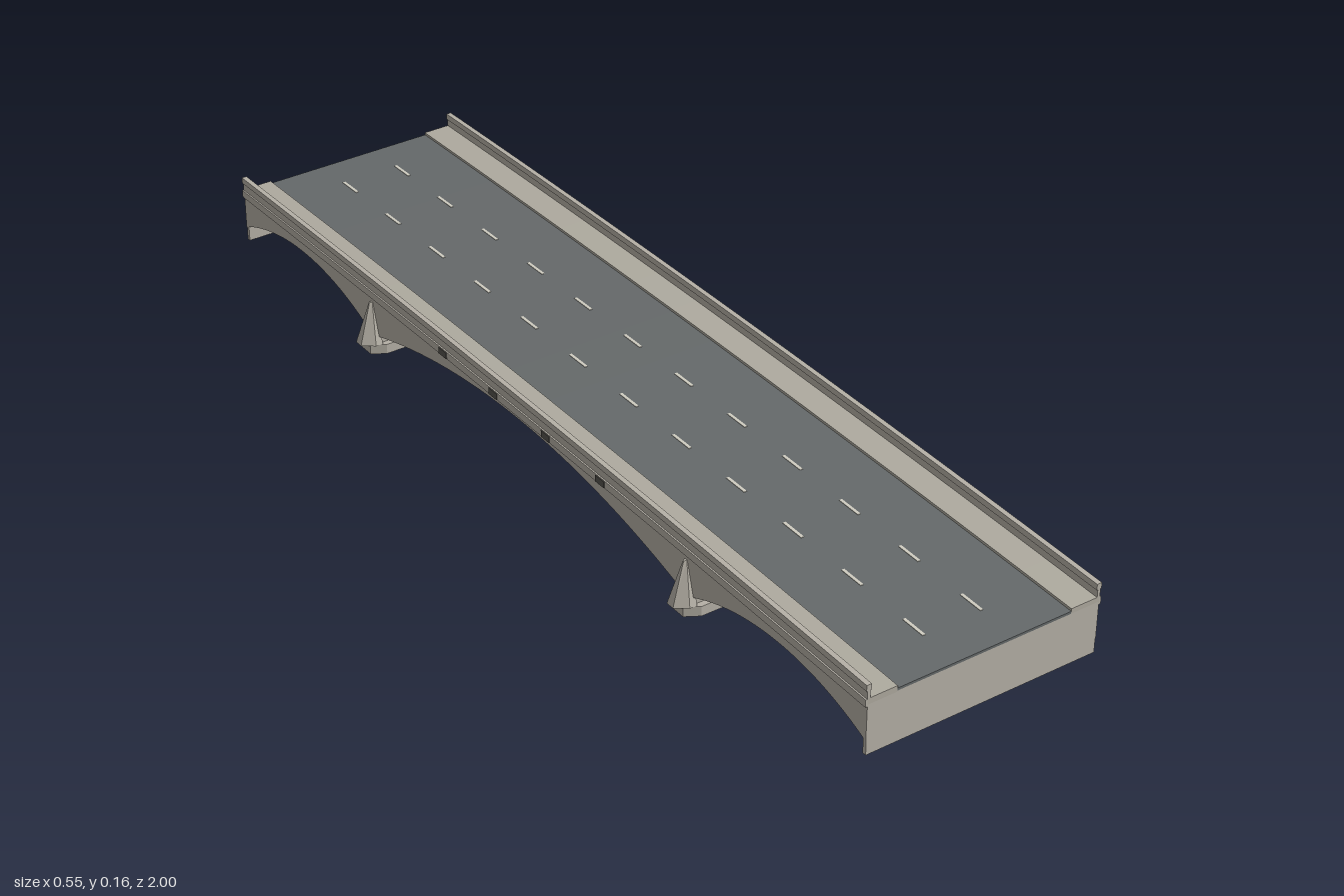
import * as THREE from 'three';

const concrete = new THREE.MeshStandardMaterial({ color: 0xb5b0a6 });
concrete.name = 'concrete';
const paving = new THREE.MeshStandardMaterial({ color: 0xaeaa9f });
paving.name = 'paving';
const asphalt = new THREE.MeshStandardMaterial({ color: 0x65696a });
asphalt.name = 'asphalt';
const paint = new THREE.MeshStandardMaterial({ color: 0xcfccc0 });
paint.name = 'lane paint';
const recess = new THREE.MeshStandardMaterial({ color: 0x55534e });
recess.name = 'dark recess';

const PIER_Z = 0.51, STEPS = 32;
const camber = (z) => -0.012 * z * z;

function add(parent, name, geometry, material) {
  const mesh = new THREE.Mesh(geometry, material);
  mesh.name = name;
  parent.add(mesh);
  return mesh;
}

// Extrudes a (z, y) outline across the bridge from x0 to x1
function across(points, x0, x1) {
  const shape = new THREE.Shape(points.map(([z, y]) => new THREE.Vector2(z, y)));
  const g = new THREE.ExtrudeGeometry(shape, { depth: x1 - x0, bevelEnabled: false });
  return g.rotateY(-Math.PI / 2).translate(x1, 0, 0);
}

// Points along the cambered line at height h
function line(h, z0 = -1, z1 = 1, n = STEPS) {
  return Array.from({ length: n + 1 }, (_, i) => {
    const z = z0 + ((z1 - z0) * i) / n;
    return [z, h + camber(z)];
  });
}

// Long slab that follows the camber
function slab(x0, x1, low, high, z0, z1, n) {
  return across([...line(low, z0, z1, n), ...line(high, z0, z1, n).reverse()], x0, x1);
}

// Circular arch from z0 to z1 with a given springing and crown height
function arch(z0, z1, spring, crown) {
  const half = (z1 - z0) / 2, rise = crown - spring;
  const r = (half * half + rise * rise) / (2 * rise);
  return Array.from({ length: STEPS + 1 }, (_, i) => {
    const d = -half + (2 * half * i) / STEPS;
    return [(z0 + z1) / 2 + d, crown - r + Math.sqrt(r * r - d * d)];
  });
}

// Tapering cutwater leaning on the side wall, facing +x
function cutwater() {
  const plan = [[0.235, 0.026], [0.25, 0.026], [0.273, 0.009], [0.273, -0.009], [0.25, -0.026], [0.235, -0.026]];
  const base = plan.map(([x, z]) => [x, 0.02, z]);
  const top = plan.map(([x, z]) => [x > 0.26 ? 0.246 : Math.min(x, 0.241), 0.102, z * 0.12]);
  const pos = [];
  const n = plan.length;
  for (let i = 0; i < n; i++) {
    const j = (i + 1) % n;
    pos.push(...base[i], ...top[j], ...base[j], ...base[i], ...top[i], ...top[j]);
    if (i > 0 && i < n - 1) {
      pos.push(...base[0], ...base[i], ...base[i + 1], ...top[0], ...top[i + 1], ...top[i]);
    }
  }
  // Reverse the winding so every face points outward
  for (let i = 0; i < pos.length; i += 9) {
    for (let k = 0; k < 3; k++) {
      [pos[i + 3 + k], pos[i + 6 + k]] = [pos[i + 6 + k], pos[i + 3 + k]];
    }
  }
  const flip = isInward(pos);
  if (flip) {
    for (let i = 0; i < pos.length; i += 9) {
      for (let k = 0; k < 3; k++) {
        [pos[i + 3 + k], pos[i + 6 + k]] = [pos[i + 6 + k], pos[i + 3 + k]];
      }
    }
  }
  const g = new THREE.BufferGeometry();
  g.setAttribute('position', new THREE.Float32BufferAttribute(pos, 3));
  g.computeVertexNormals();
  return g;
}

// Signed volume test for a triangle list
function isInward(p) {
  let volume = 0;
  const a = new THREE.Vector3(), b = new THREE.Vector3(), c = new THREE.Vector3();
  for (let i = 0; i < p.length; i += 9) {
    a.fromArray(p, i); b.fromArray(p, i + 3); c.fromArray(p, i + 6);
    volume += a.dot(b.cross(c));
  }
  return volume < 0;
}

export function createModel() {
  const bridge = new THREE.Group();
  bridge.name = 'archBridge';

  // Arched body with three spans
  const outline = [
    ...arch(-1, -0.53, 0.035, 0.087), [-0.53, 0.018], [-0.49, 0.018],
    ...arch(-0.49, 0.49, 0.035, 0.108), [0.49, 0.018], [0.53, 0.018],
    ...arch(0.53, 1, 0.035, 0.087),
    ...line(0.122).reverse(),
  ];
  add(bridge, 'archedBody', across(outline, -0.24, 0.24), concrete);

  // Roadway
  add(bridge, 'roadway', slab(-0.18, 0.18, 0.122, 0.127), asphalt);

  // Lane dashes
  const lanes = new THREE.Group();
  lanes.name = 'laneDashes';
  bridge.add(lanes);
  for (const x of [-0.06, 0.06]) {
    for (let i = 0; i < 12; i++) {
      const z = (i - 5.5) * 0.162;
      add(lanes, 'laneDash', slab(x - 0.003, x + 0.003, 0.1265, 0.128, z - 0.026, z + 0.026, 2), paint);
    }
  }

  for (const s of [-1, 1]) {
    const strip = (name, a, b, low, high, mat) =>
      add(bridge, name, slab(Math.min(s * a, s * b), Math.max(s * a, s * b), low, high), mat);
    // Pavement, side ledge and parapet
    strip('pavement', 0.18, 0.24, 0.12, 0.132, paving);
    strip('sideLedge', 0.238, 0.244, 0.116, 0.131, concrete);
    strip('parapet', 0.235, 0.241, 0.13, 0.15, concrete);
    strip('parapetCap', 0.233, 0.243, 0.147, 0.159, concrete);

    // End walls under the outer springings
    const wall = add(bridge, 'endWall', new THREE.BoxGeometry(0.478, 0.03, 0.008), concrete);
    wall.position.set(0, 0.022, s * 0.996);

    // Pier footing with chamfered ends
    const plan = new THREE.Shape([
      [-0.257, -0.016], [-0.23, -0.032], [0.23, -0.032], [0.257, -0.016],
      [0.257, 0.016], [0.23, 0.032], [-0.23, 0.032], [-0.257, 0.016],
    ].map(([x, z]) => new THREE.Vector2(x, z)));
    const footing = new THREE.ExtrudeGeometry(plan, { depth: 0.02, bevelEnabled: false });
    footing.rotateX(-Math.PI / 2);
    add(bridge, 'pierFooting', footing, concrete).position.z = s * PIER_Z;

    // Cutwaters on both sides of the pier
    for (const turn of [0, Math.PI]) {
      const nose = add(bridge, 'cutwater', cutwater(), concrete);
      nose.rotation.y = turn;
      nose.position.z = s * PIER_Z;
    }
  }

  // Small dark openings along one side of the main span
  for (const z of [-0.25, -0.08, 0.09, 0.26]) {
    const hole = add(bridge, 'sideOpening', new THREE.BoxGeometry(0.002, 0.013, 0.026), recess);
    hole.position.set(-0.2445, 0.123 + camber(z), z);
  }
  return bridge;
}
